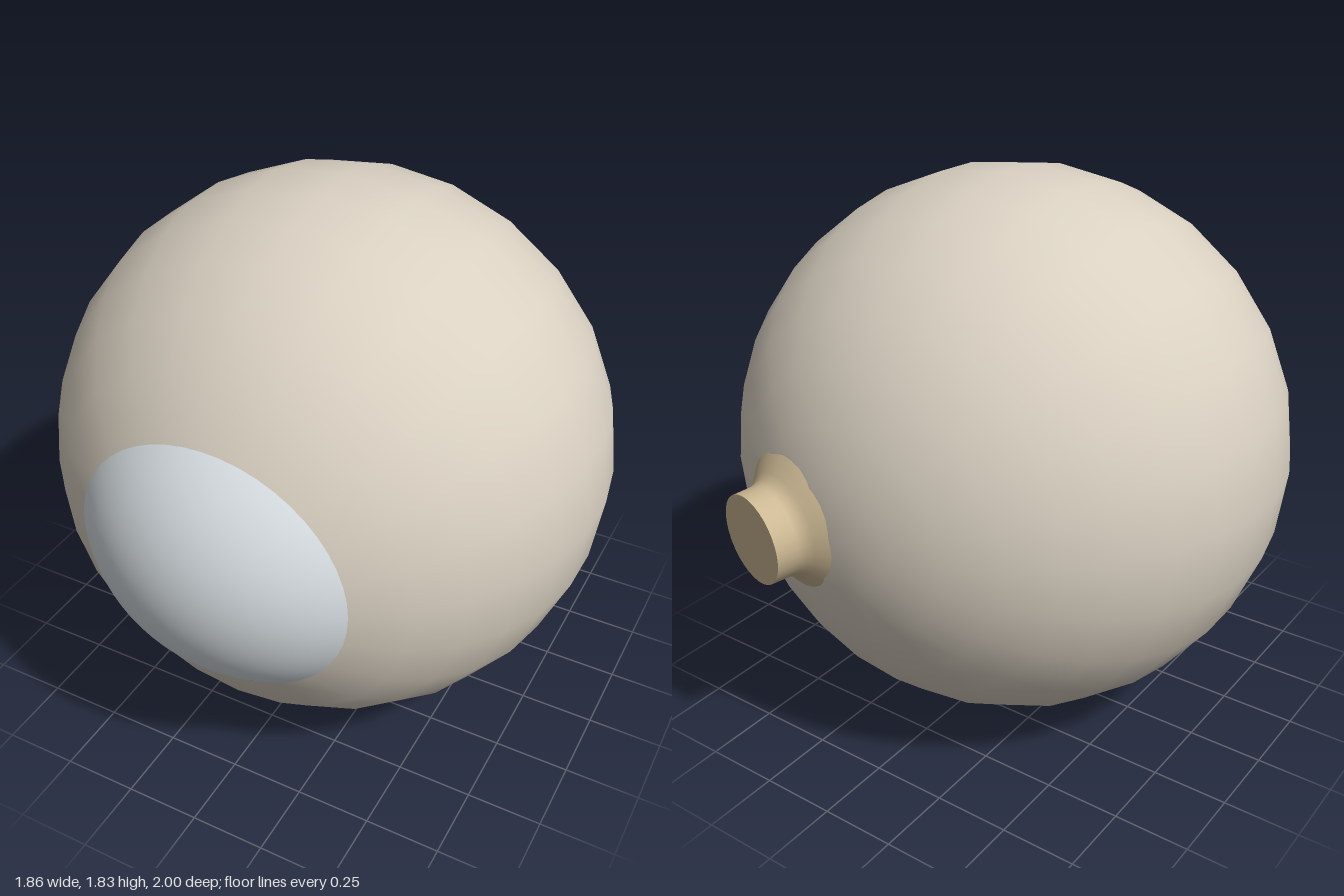
import * as THREE from 'three';

const flat = (name, color) => {
  const m = new THREE.MeshStandardMaterial({ color });
  m.name = name;
  return m;
};

export function createModel() {
  const group = new THREE.Group();
  const sclera = flat('warm white', 0xdad1c2);
  const clear = flat('pale blue', 0xd8dfe3);
  const nerve = flat('tan', 0xcdb994);
  const add = (parent, name, geometry, material) => {
    const mesh = new THREE.Mesh(geometry, material);
    mesh.name = name;
    parent.add(mesh);
    return mesh;
  };

  // Eyeball: coarse smooth ellipsoid, open at the front under the cornea
  const start = 0.532;
  const ball = new THREE.SphereGeometry(1, 24, 14, 0, Math.PI * 2, start, Math.PI - start);
  ball.rotateX(Math.PI / 2);
  ball.scale(0.932, 0.917, 0.905);
  ball.translate(0, 0.917, 0.02);
  // Draw the front rim in to the oval edge of the cornea
  const p = ball.attributes.position;
  for (let i = 0; i <= 24; i++) {
    const a = Math.atan2((p.getY(i) - 0.917) / 0.917, p.getX(i) / 0.932);
    p.setXYZ(i, 0.455 * Math.cos(a), 0.917 + 0.42 * Math.sin(a), 0.808);
  }
  add(group, 'eyeball', ball, sclera);

  // Cornea: oval spherical cap
  const rim = 0.457, rise = 0.193;
  const R = (rim * rim + rise * rise) / (2 * rise);
  const cap = new THREE.SphereGeometry(R, 48, 12, 0, Math.PI * 2, 0, Math.asin(rim / R));
  cap.rotateX(Math.PI / 2);
  cap.scale(1, 0.422 / rim, 1);
  cap.translate(0, 0.919, 1 - R);
  add(group, 'cornea', cap, clear);

  // Optic nerve: short stub flaring onto the back of the eyeball
  const stub = new THREE.Group();
  stub.name = 'opticNerve';
  stub.position.set(0.262, 0.875, -0.965);
  stub.quaternion.setFromUnitVectors(
    new THREE.Vector3(0, 1, 0),
    new THREE.Vector3(0.24, -0.06, -0.97).normalize()
  );
  const profile = [[0.225, -0.15], [0.2, -0.128], [0.175, -0.11], [0.156, -0.092], [0.147, -0.07], [0.145, 0]]
    .map(([r, y]) => new THREE.Vector2(r, y));
  add(stub, 'nerveStub', new THREE.LatheGeometry(profile, 32), nerve);
  const end = new THREE.CircleGeometry(0.145, 32);
  end.rotateX(-Math.PI / 2);
  add(stub, 'nerveEnd', end, nerve);
  group.add(stub);

  return group;
}
